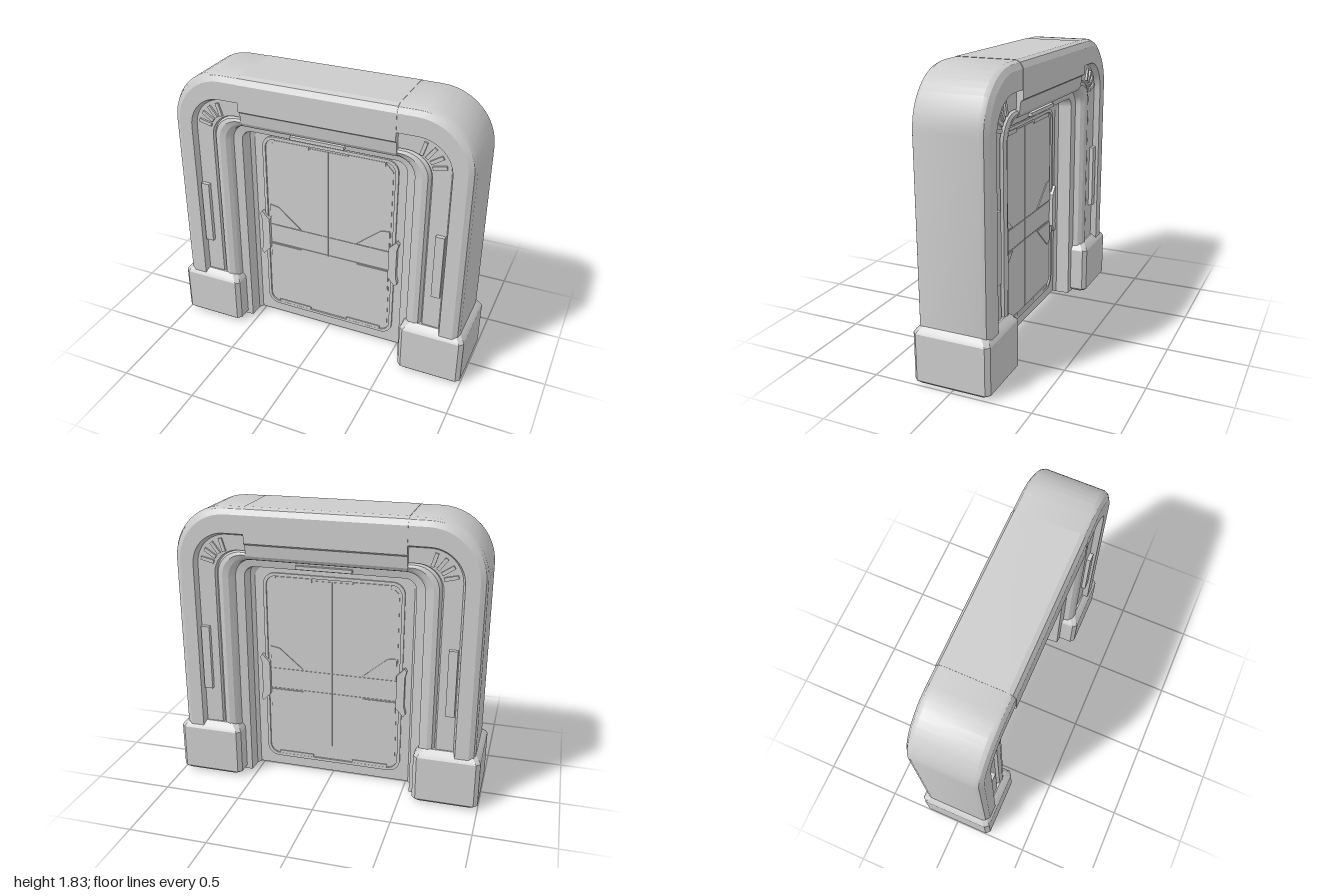
import * as THREE from 'three';
import { toCreasedNormals } from 'three/addons/utils/BufferGeometryUtils.js';

const material = new THREE.MeshStandardMaterial({ color: 0xcccccc, side: THREE.DoubleSide });

function add(parent, name, geometry, x = 0, y = 0, z = 0) {
  const mesh = new THREE.Mesh(geometry, material);
  mesh.name = name;
  mesh.position.set(x, y, z);
  parent.add(mesh);
  return mesh;
}

// Skin stretched over a list of point rows of equal length
function loft(rows, crease = 0.5) {
  const n = rows[0].length, index = [];
  for (let i = 0; i < rows.length - 1; i++) {
    for (let j = 0; j < n - 1; j++) {
      const a = i * n + j, b = a + n;
      index.push(a, a + 1, b, a + 1, b + 1, b);
    }
  }
  const g = new THREE.BufferGeometry();
  g.setAttribute('position', new THREE.Float32BufferAttribute(rows.flat(2), 3));
  g.setIndex(index);
  return toCreasedNormals(g, crease);
}

// One U-shaped rail with round upper corners, from the +x foot over to the -x foot
function rail([w, top, r, z, bottom]) {
  const pts = [[w, bottom, z]];
  for (const side of [0, 1]) {
    for (let k = 0; k <= 12; k++) {
      const a = (side + k / 12) * Math.PI / 2;
      pts.push([(side ? -1 : 1) * (w - r) + r * Math.cos(a), top - r + r * Math.sin(a), z]);
    }
  }
  pts.push([-w, bottom, z]);
  return pts;
}

// Horizontal chamfered rectangle used for the feet
function footRing(y, inset, scale = 1) {
  const w = (0.21 - inset) * scale, d = (0.243 - inset) * scale, c = 0.025 * scale;
  const p = [[-w + c, d], [w - c, d], [w, d - c], [w, -d + c], [w - c, -d], [-w + c, -d], [-w, -d + c], [-w, d - c]];
  return [...p, p[0]].map(([x, z]) => [x, y, z]);
}

function roundedRect(path, w, y0, y1, r) {
  path.moveTo(-w + r, y0);
  path.lineTo(w - r, y0);
  path.absarc(w - r, y0 + r, r, -Math.PI / 2, 0);
  path.absarc(w - r, y1 - r, r, 0, Math.PI / 2);
  path.absarc(-w + r, y1 - r, r, Math.PI / 2, Math.PI);
  path.absarc(-w + r, y0 + r, r, Math.PI, Math.PI * 1.5);
  return path;
}

const plate = (points, depth) => new THREE.ExtrudeGeometry(
  new THREE.Shape(points.map(p => new THREE.Vector2(...p))), { depth, bevelEnabled: false });

// Everything mounted on one face of the door and frame
function faceDetails() {
  const g = new THREE.Group();
  g.name = 'faceDetails';

  const rim = roundedRect(new THREE.Shape(), 0.46, 0.08, 1.385, 0.08);
  rim.holes.push(roundedRect(new THREE.Path(), 0.44, 0.1, 1.365, 0.065));
  add(g, 'doorRim', new THREE.ExtrudeGeometry(rim, { depth: 0.012, bevelEnabled: false, curveSegments: 6 }), 0, 0, 0.015);

  add(g, 'lightStrip', new THREE.BoxGeometry(0.355, 0.022, 0.025), -0.022, 1.466, 0.14);

  for (const s of [1, -1]) {
    const m = pts => pts.map(([x, y]) => [x * s, y]);

    // Door leaf in bands, with thin grooves between them and at the centre
    const c = 0.045;
    for (const [y0, y1] of [[0.115, 0.587], [0.592, 0.729], [0.733, 1.35]]) {
      const low = y0 < 0.2 ? c : 0, high = y1 > 1 ? c : 0;
      add(g, 'doorLeaf', plate(m([[0.004, y0], [0.425 - low, y0], [0.425, y0 + low],
        [0.425, y1 - high], [0.425 - high, y1], [0.004, y1]]), 0.006), 0, 0, 0.014);
    }

    // Angular wedges beside the middle band
    add(g, 'upperWedge', plate(m([[0.42, 0.74], [0.2, 0.74], [0.36, 0.875], [0.42, 0.885]]), 0.008), 0, 0, 0.018);
    add(g, 'lowerWedge', plate(m([[0.42, 0.58], [0.2, 0.58], [0.38, 0.42], [0.42, 0.44]]), 0.008), 0, 0, 0.018);

    // Corner trim tabs along the rim
    for (const y of [0.107, 1.35]) {
      add(g, 'rimTab', new THREE.BoxGeometry(0.24, 0.025, 0.012), s * 0.255, y, 0.02);
    }

    // Bent clamp gripping the door edge
    add(g, 'edgeClamp', plate(m([[0.475, 0.83], [0.49, 0.81], [0.478, 0.765], [0.478, 0.565], [0.49, 0.515],
      [0.475, 0.495], [0.425, 0.55], [0.425, 0.775]]), 0.035), 0, 0, 0.01);

    // Upright panel in the side channel
    add(g, 'sidePanel', new THREE.BoxGeometry(0.055, 0.43, 0.03), s * 0.793, 0.835, 0.2);

    // Ribs fanned round the channel corner
    for (let k = 0; k < 4; k++) {
      const a = (0.15 + k * 0.22) * Math.PI / 2;
      const rib = add(g, 'cornerRib', new THREE.BoxGeometry(0.085, 0.022, 0.02),
        s * (0.61 + 0.15 * Math.cos(a)), 1.455 + 0.14 * Math.sin(a), 0.192);
      rib.rotation.z = s * a;
    }
  }
  return g;
}

export function createModel() {
  const model = new THREE.Group();
  model.name = 'slidingDoorGate';

  // Frame rails, outer edge to door: half width, top, corner radius, depth, bottom
  const rails = [
    [0.965, 1.83, 0.34, 0.185, 0.3],
    [0.955, 1.818, 0.335, 0.21, 0.3],
    [0.925, 1.785, 0.31, 0.229, 0.3],
    [0.84, 1.67, 0.21, 0.229, 0.3],
    [0.825, 1.655, 0.2, 0.19, 0.3],
    [0.715, 1.56, 0.16, 0.187, 0.3],
    [0.705, 1.555, 0.155, 0.172, 0.3],
    [0.69, 1.55, 0.15, 0.195, 0.3],
    [0.66, 1.535, 0.14, 0.203, 0.3],
    [0.625, 1.515, 0.13, 0.192, 0.3],
    [0.605, 1.5, 0.12, 0.17, 0.3],
    [0.6, 1.495, 0.12, 0.135, 0.005],
    [0.545, 1.445, 0.07, 0.125, 0.0],
    [0.54, 1.44, 0.065, 0.035, 0.0],
    [0.515, 1.42, 0.08, 0.014, 0.012],
  ];
  const back = rails.map(([w, t, r, z, b]) => [w, t, r, -z, b]).reverse();
  add(model, 'archFrame', loft([...back, ...rails].map(rail)));

  // Lintel block bridging the top of the arch, with a stepped lower band
  const half = [[0.185, 1.832], [0.212, 1.82], [0.232, 1.786], [0.232, 1.615], [0.215, 1.603], [0.205, 1.53], [0.19, 1.507]];
  const section = [...half, ...half.map(([z, y]) => [-z, y]).reverse()];
  const lintel = plate(section, 1);
  lintel.rotateY(Math.PI / 2);
  add(model, 'lintel', lintel, -0.5);

  // Door core behind the leaves
  add(model, 'doorCore', new THREE.BoxGeometry(1.08, 1.43, 0.032), 0, 0.727, 0);

  // Hollow feet, open underneath
  for (const s of [1, -1]) {
    const foot = loft([footRing(0.01, 0.02), footRing(0.03, 0), footRing(0.325, 0), footRing(0.345, 0.012),
      footRing(0.375, 0.045), footRing(0.375, 0.045, 0.001)], 0.4);
    add(model, 'foot', foot, s * 0.79);
  }

  const front = faceDetails();
  const rear = front.clone();
  rear.rotation.y = Math.PI;
  model.add(front, rear);
  return model;
}
